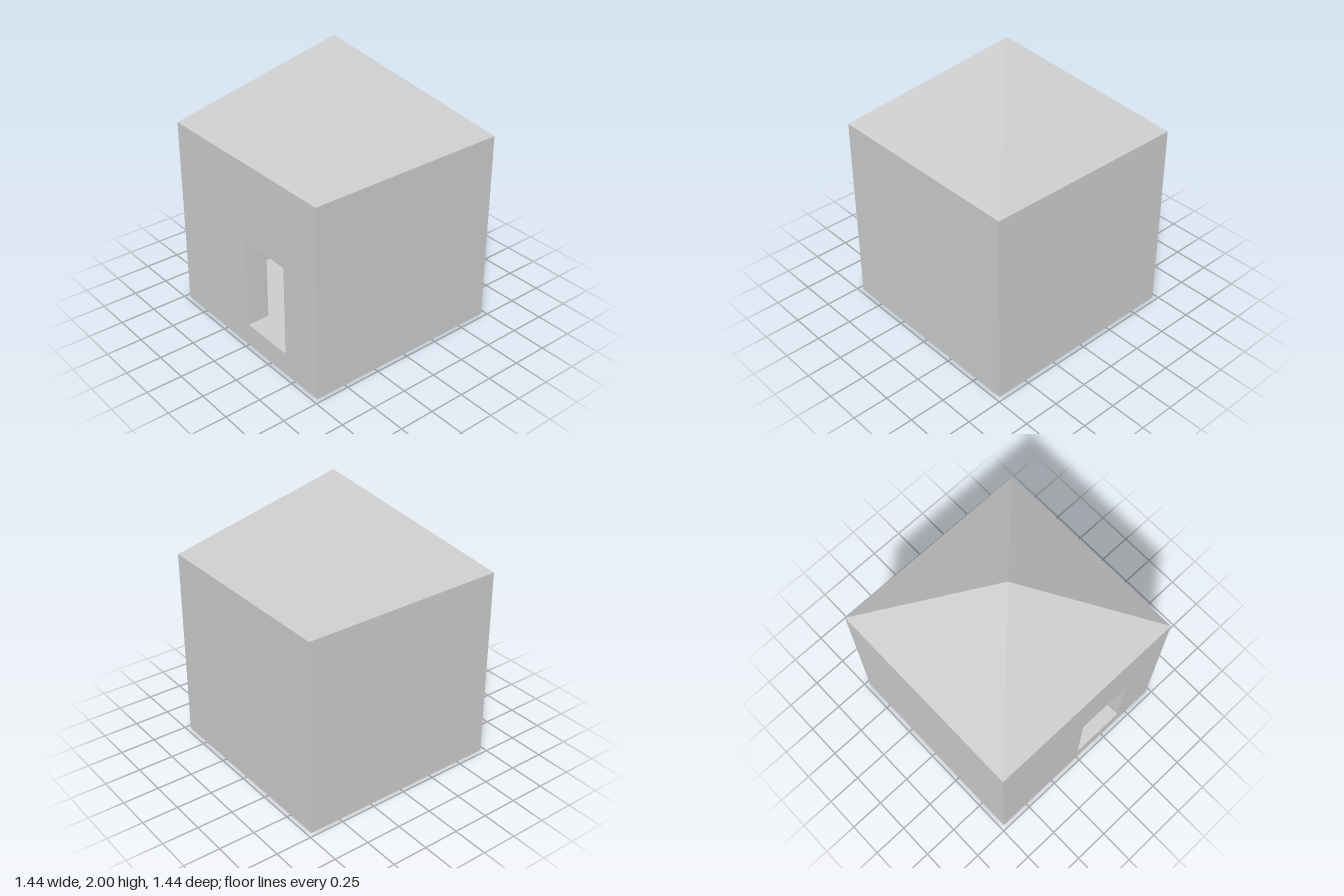
import * as THREE from 'three';

const HALF = 0.72;   // half of the outer width
const WALL = 0.16;   // wall and floor thickness
const EAVES = 1.36;
const INNER = HALF - WALL;

export function createModel() {
  const house = new THREE.Group();
  house.name = 'house';
  const material = new THREE.MeshStandardMaterial({ color: 0xcccccc, flatShading: true });

  const add = (name, geometry, x, y, z, parent = house) => {
    const mesh = new THREE.Mesh(geometry, material);
    mesh.name = name;
    mesh.position.set(x, y, z);
    parent.add(mesh);
    return mesh;
  };
  // box given by its lower and upper corners
  const box = (name, [x0, y0, z0], [x1, y1, z1], parent) =>
    add(name, new THREE.BoxGeometry(x1 - x0, y1 - y0, z1 - z0),
      (x0 + x1) / 2, (y0 + y1) / 2, (z0 + z1) / 2, parent);

  // floor, back wall and side walls
  box('floor', [-INNER, 0, -INNER], [INNER, WALL, INNER]);
  box('backWall', [-HALF, 0, -HALF], [HALF, EAVES, -INNER]);
  box('leftWall', [INNER, 0, -INNER], [HALF, EAVES, INNER]);
  box('rightWall', [-HALF, 0, -INNER], [-INNER, EAVES, INNER]);

  // front wall with the doorway cut out
  const rectangle = (path, x0, y0, x1, y1) =>
    path.moveTo(x0, y0).lineTo(x1, y0).lineTo(x1, y1).lineTo(x0, y1).closePath();
  const front = rectangle(new THREE.Shape(), -HALF, 0, HALF, EAVES);
  front.holes.push(rectangle(new THREE.Path(), 0, WALL, 0.4, 0.8));
  add('frontWall', new THREE.ExtrudeGeometry(front, { depth: WALL, bevelEnabled: false }), 0, 0, INNER);

  // pyramid roof
  const roof = new THREE.ConeGeometry(HALF * Math.SQRT2, 2 - EAVES, 4);
  roof.rotateY(Math.PI / 4);
  add('roof', roof, 0, (2 + EAVES) / 2, 0);

  // door leaf standing open into the room
  box('door', [0.36, WALL, 0.16], [0.4, 0.8, INNER]);

  // long table along the right wall
  const table = new THREE.Group();
  table.name = 'table';
  house.add(table);
  const [x0, x1, z0, z1, top, leg] = [-0.54, -0.26, -0.48, 0.12, 0.39, 0.025];
  box('tableTop', [x0, top - 0.02, z0], [x1, top, z1], table);
  for (const x of [x0, x1 - leg])
    for (const z of [z0, z1 - leg])
      box('tableLeg', [x, WALL, z], [x + leg, top - 0.02, z + leg], table);

  return house;
}
